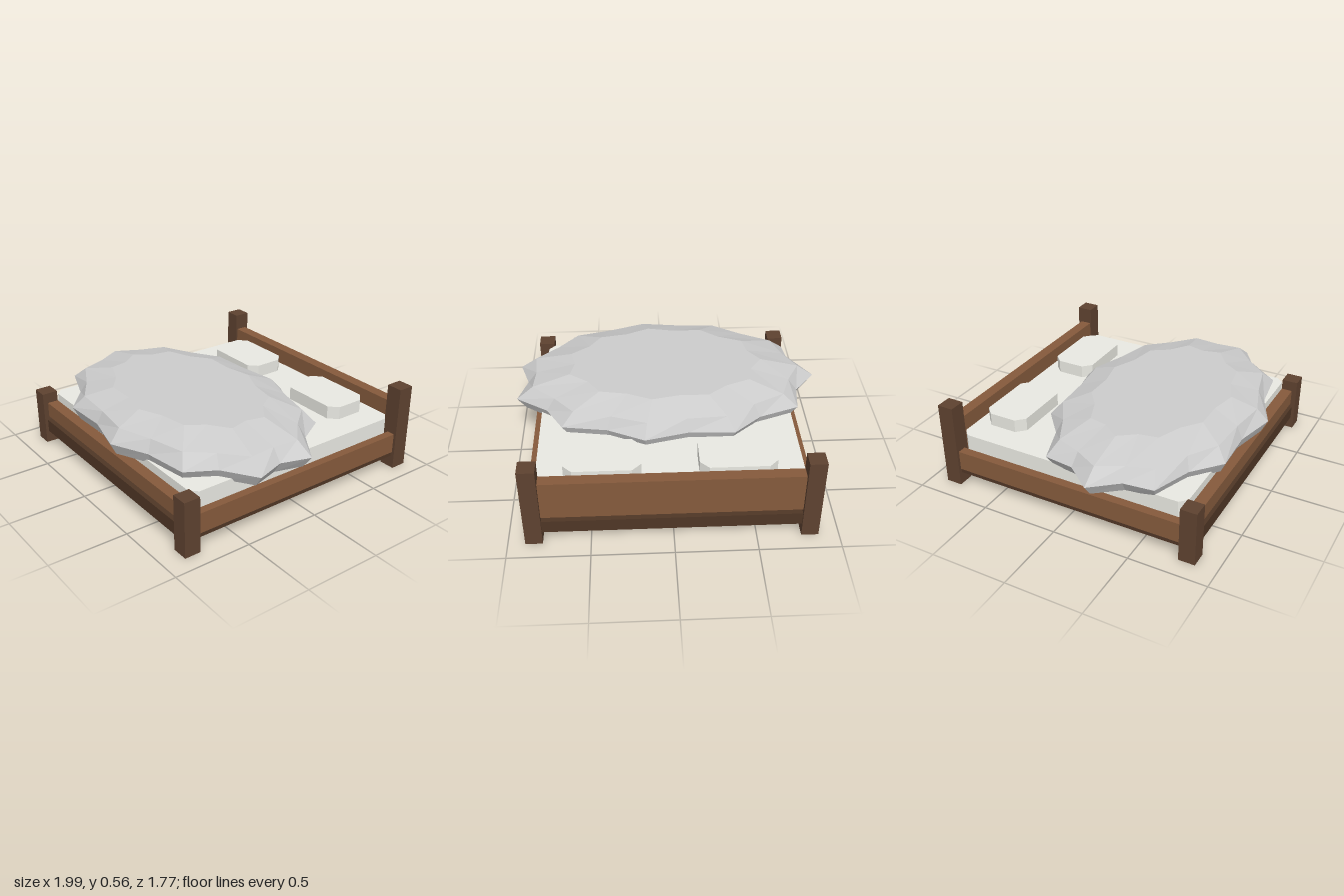
import * as THREE from 'three';

const mat = (color) => new THREE.MeshStandardMaterial({ color, flatShading: true });

export function createModel() {
  const bed = new THREE.Group();
  bed.name = 'bed';
  const postWood = mat(0x5e4230), railWood = mat(0x855a3c), baseWood = mat(0x4f3625);
  const linen = mat(0xe9e9e2), cloth = mat(0xcccccc);

  const add = (name, geometry, material) => {
    const mesh = new THREE.Mesh(geometry, material);
    mesh.name = name;
    bed.add(mesh);
    return mesh;
  };

  // Box given by its limits on each axis
  const box = (name, [x0, x1], [y0, y1], [z0, z1], material) =>
    add(name, new THREE.BoxGeometry(x1 - x0, y1 - y0, z1 - z0), material)
      .position.set((x0 + x1) / 2, (y0 + y1) / 2, (z0 + z1) / 2);

  // Slab with its four upright corners cut off
  const cutSlab = (name, [x0, x1], [y0, y1], [z0, z1], cut, material) => {
    const w = (x1 - x0) / 2, d = (z1 - z0) / 2;
    const outline = [
      [w, cut - d], [w, d - cut], [w - cut, d], [cut - w, d],
      [-w, d - cut], [-w, cut - d], [cut - w, -d], [w - cut, -d],
    ].map(([x, y]) => new THREE.Vector2(x, y));
    const geometry = new THREE.ExtrudeGeometry(new THREE.Shape(outline), { depth: y1 - y0, bevelEnabled: false });
    geometry.rotateX(-Math.PI / 2);
    add(name, geometry, material).position.set((x0 + x1) / 2, y0, (z0 + z1) / 2);
  };

  // Corner posts, taller at the head
  for (const [side, xs] of [['left', [0.79, 0.895]], ['right', [-0.875, -0.77]]]) {
    box(side + 'FrontPost', xs, [0, 0.36], [0.76, 0.865], postWood);
    box(side + 'BackPost', xs, [0, 0.56], [-0.89, -0.785], postWood);
  }

  // Base and rails
  box('base', [-0.85, 0.87], [0.08, 0.165], [-0.875, 0.845], baseWood);
  box('leftRail', [0.825, 0.877], [0.11, 0.24], [-0.83, 0.81], railWood);
  box('rightRail', [-0.857, -0.8], [0.11, 0.24], [-0.83, 0.81], railWood);
  box('footRail', [-0.82, 0.84], [0.19, 0.29], [0.76, 0.833], railWood);
  box('headboard', [-0.82, 0.84], [0.19, 0.45], [-0.867, -0.793], railWood);

  // Mattress and pillows
  cutSlab('mattress', [-0.8, 0.825], [0.19, 0.345], [-0.793, 0.76], 0.045, linen);
  cutSlab('leftPillow', [0.187, 0.655], [0.34, 0.43], [-0.74, -0.45], 0.055, linen);
  cutSlab('rightPillow', [-0.63, -0.16], [0.34, 0.43], [-0.74, -0.45], 0.055, linen);

  // Rumpled blanket: stacked oval rings with eleven points each
  const count = 22;
  const rings = [ // height, scale at points, scale at hollows
    [0.32, 0.94, 0.85], [0.4, 1, 0.9], [0.48, 0.89, 0.84], [0.54, 0.64, 0.585],
  ];
  const positions = [], index = [];
  for (const [y, point, hollow] of rings) {
    for (let i = 0; i < count; i++) {
      const a = Math.PI + (i / count) * Math.PI * 2;
      const s = i % 2 ? hollow : point;
      positions.push(0.015 + 1.015 * s * Math.cos(a), y, 0.225 + 0.665 * s * Math.sin(a));
    }
  }
  const bottom = count * rings.length, top = bottom + 1;
  positions.push(0.015, rings[0][0], 0.225, 0.015, rings[3][0], 0.225);
  for (let i = 0; i < count; i++) {
    const j = (i + 1) % count;
    for (let r = 0; r < rings.length - 1; r++) {
      const a = r * count, b = a + count;
      index.push(a + i, b + i, a + j, b + i, b + j, a + j);
    }
    const last = (rings.length - 1) * count;
    index.push(bottom, i, j, top, last + j, last + i);
  }
  const blanket = new THREE.BufferGeometry();
  blanket.setAttribute('position', new THREE.Float32BufferAttribute(positions, 3));
  blanket.setIndex(index);
  const flatBlanket = blanket.toNonIndexed();
  flatBlanket.computeVertexNormals();
  add('blanket', flatBlanket, cloth);

  return bed;
}
